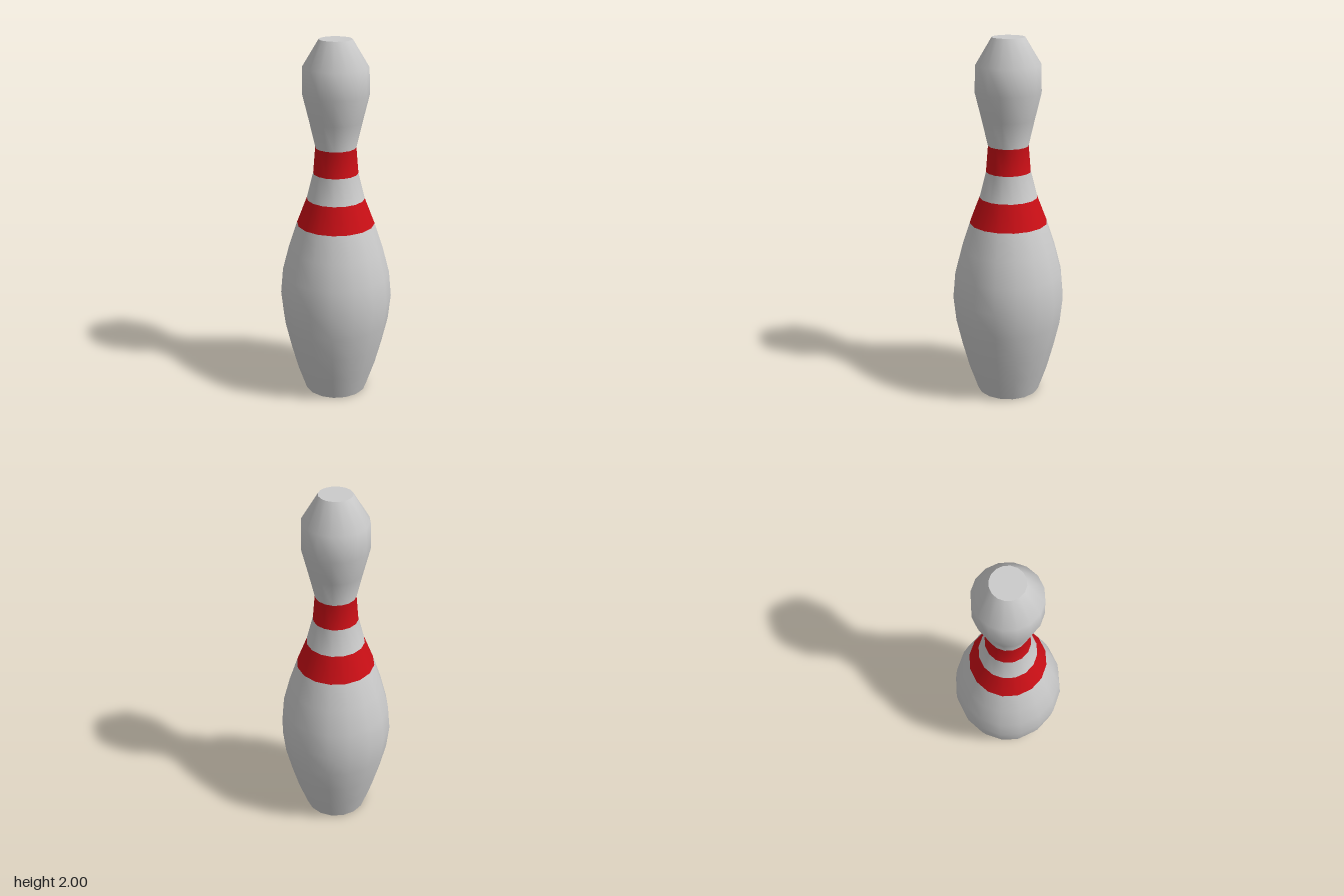
import * as THREE from 'three';

const SIDES = 16;
const STEP = 2 / 14; // height between rings
// Ring radii from the base to the top of the head
const RADII = [0.175, 0.224, 0.262, 0.295, 0.31, 0.297, 0.26, 0.213,
  0.158, 0.122, 0.11, 0.143, 0.178, 0.175, 0.088];

export function createModel() {
  const pin = new THREE.Group();
  pin.name = 'bowlingPin';
  const white = new THREE.MeshStandardMaterial({ color: 0xcccccc });
  const red = new THREE.MeshStandardMaterial({ color: 0xcc0f16 });

  const add = (name, geometry, material) => {
    const mesh = new THREE.Mesh(geometry, material);
    mesh.name = name;
    pin.add(mesh);
    return mesh;
  };

  // One smooth profile, sliced so shading flows across the stripes
  const profile = RADII.map((r, i) => new THREE.Vector2(r, i * STEP));
  const full = new THREE.LatheGeometry(profile, SIDES);
  const rows = RADII.length - 1;

  const slice = (from, to) => {
    const geometry = full.clone();
    const source = full.index.array;
    const index = [];
    for (let s = 0; s < SIDES; s++) {
      const start = s * rows * 6;
      index.push(...source.slice(start + from * 6, start + to * 6));
    }
    geometry.setIndex(index);
    return geometry.toNonIndexed(); // drops the unused vertices
  };

  add('body', slice(0, 7), white);
  add('lowerStripe', slice(7, 8), red);
  add('neck', slice(8, 9), white);
  add('upperStripe', slice(9, 10), red);
  add('head', slice(10, rows), white);

  // Flat ends
  const base = add('base', new THREE.CircleGeometry(RADII[0], SIDES), white);
  base.rotation.x = Math.PI / 2;
  const top = add('topCap', new THREE.CircleGeometry(RADII[rows], SIDES), white);
  top.rotation.x = -Math.PI / 2;
  top.position.y = 2;

  return pin;
}
